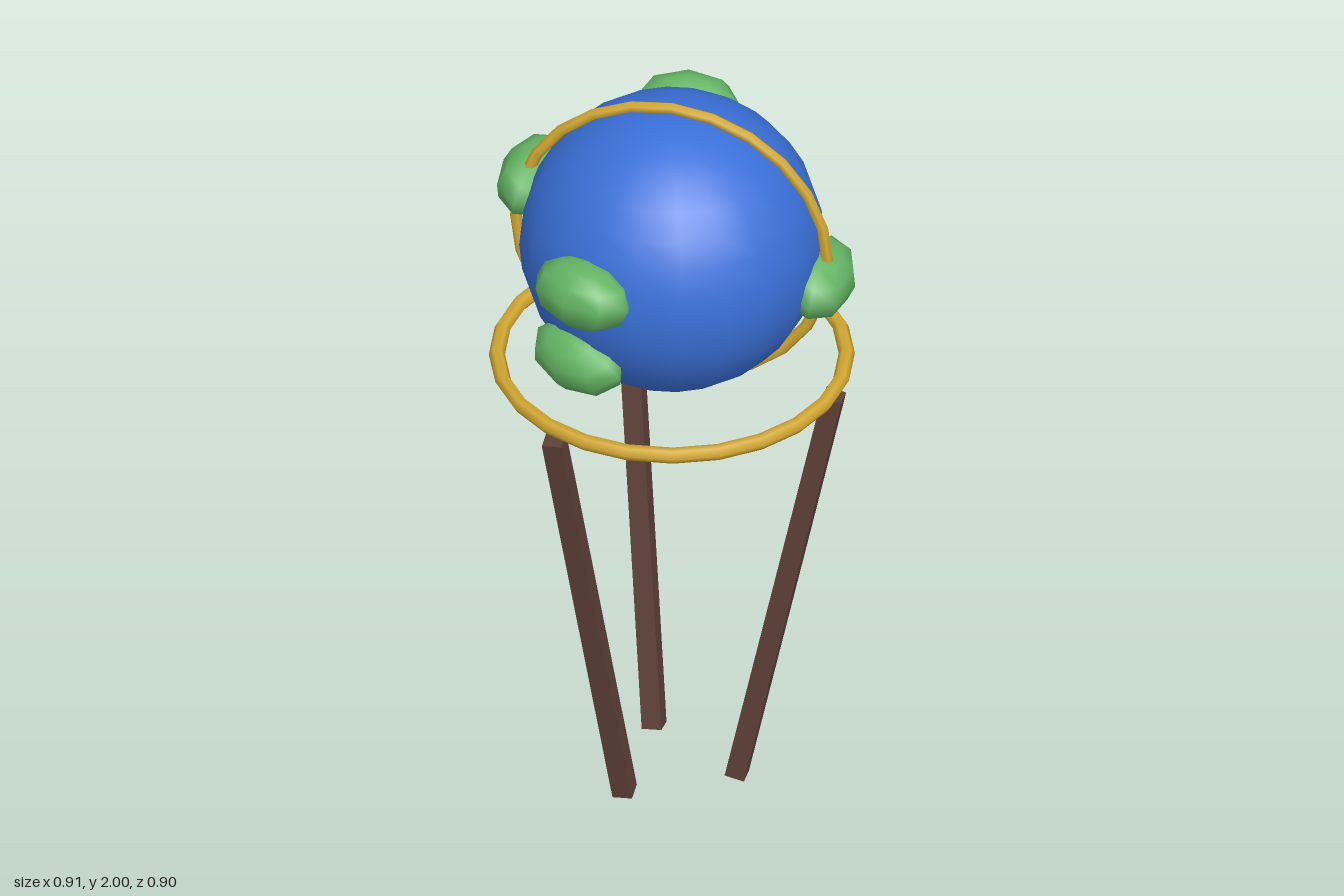
import * as THREE from 'three';

const CENTER = new THREE.Vector3(0, 1.588, 0);
const RADIUS = 0.376;

function material(name, color) {
  const m = new THREE.MeshStandardMaterial({ color });
  m.name = name;
  return m;
}

export function createModel() {
  const model = new THREE.Group();
  const ocean = material('ocean blue', 0x3a70d8);
  const land = material('land green', 0x64b464);
  const brass = material('brass', 0xd4a932);
  const wood = material('dark wood', 0x5d4037);

  const add = (name, geometry, mat) => {
    const mesh = new THREE.Mesh(geometry, mat);
    mesh.name = name;
    model.add(mesh);
    return mesh;
  };

  // Globe ball
  add('globe', new THREE.SphereGeometry(RADIUS, 20, 16), ocean).position.copy(CENTER);

  // Flattened land masses, centred on the ball's surface and facing outward
  const landGeometry = new THREE.SphereGeometry(1, 8, 6);
  const directions = [
    [-0.135, 0.052, 0.346],
    [-0.16, -0.183, 0.285],
    [-0.36, 0.088, -0.06],
    [0.365, -0.065, -0.025],
    [-0.05, 0.162, -0.335],
  ];
  for (const d of directions) {
    const out = new THREE.Vector3(...d).normalize();
    const patch = add('landMass', landGeometry, land);
    patch.position.copy(CENTER).addScaledVector(out, RADIUS);
    patch.lookAt(patch.position.clone().add(out));
    patch.scale.set(0.138, 0.088, 0.09);
  }

  // Upright meridian ring and level support ring
  add('meridianRing', new THREE.TorusGeometry(0.396, 0.015, 6, 24), brass).position.copy(CENTER);
  const support = add('supportRing', new THREE.TorusGeometry(0.43, 0.02, 6, 24), brass);
  support.rotation.x = Math.PI / 2;
  support.position.y = 1.242;

  // Three square legs splaying outward toward the top
  const up = new THREE.Vector3(0, 1, 0);
  for (let i = 0; i < 3; i++) {
    const a = (i * Math.PI * 2) / 3;
    const at = (r, y) => new THREE.Vector3(r * Math.cos(a), y, r * Math.sin(a));
    const foot = at(0.165, 0.005);
    const top = at(0.412, 1.192);
    const leg = add('leg', new THREE.BoxGeometry(0.05, foot.distanceTo(top), 0.05), wood);
    leg.position.copy(foot).lerp(top, 0.5);
    leg.quaternion.setFromUnitVectors(up, top.sub(foot).normalize());
  }

  return model;
}
